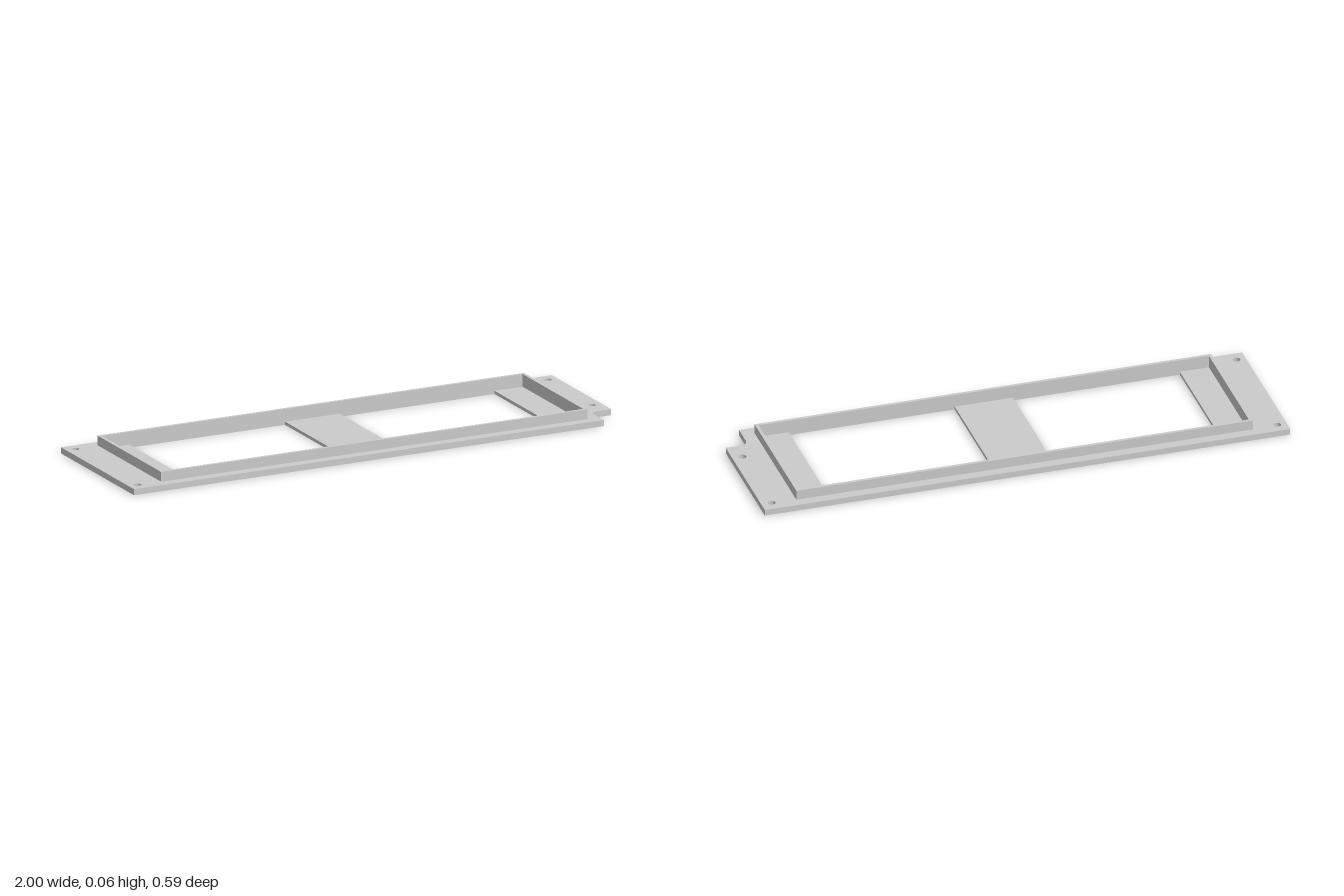
import * as THREE from 'three';

const material = new THREE.MeshStandardMaterial({ color: 0xcccccc, flatShading: true });

// Pocket inside the rim
const X0 = -0.858, X1 = 0.856, Z = 0.244;
const PLATE = 0.023, FLOOR = 0.012, TOP = 0.06;

function rectangle(Type, x0, x1, z) {
  return new Type([[x0, -z], [x1, -z], [x1, z], [x0, z]].map(([x, y]) => new THREE.Vector2(x, y)));
}

// Extrudes a plan outline (shape y = -z) upward from the given height
function slab(name, shape, y, height) {
  const geometry = new THREE.ExtrudeGeometry(shape, { depth: height, bevelEnabled: false, curveSegments: 10 });
  geometry.rotateX(-Math.PI / 2);
  const mesh = new THREE.Mesh(geometry, material);
  mesh.position.y = y;
  mesh.name = name;
  return mesh;
}

export function createModel() {
  const group = new THREE.Group();
  group.name = 'mountingFrame';

  // Base plate with a filleted notch in its front left corner
  const outline = new THREE.Shape();
  const r = 0.027, nx = 0.915, ny = -0.184;
  outline.moveTo(-1, -0.294);
  outline.lineTo(nx, -0.294);
  outline.lineTo(nx, ny - r);
  outline.absarc(nx + r, ny - r, r, Math.PI, Math.PI / 2, true);
  outline.lineTo(1, ny);
  outline.lineTo(1, 0.294);
  outline.lineTo(-1, 0.294);
  outline.closePath();
  outline.holes.push(rectangle(THREE.Path, X0, X1, Z));

  // Screw holes
  for (const [x, z] of [[-0.964, -0.25], [-0.964, 0.25], [0.961, -0.25], [0.961, 0.105]]) {
    outline.holes.push(new THREE.Path().absarc(x, -z, 0.0145, 0, Math.PI * 2, true));
  }
  group.add(slab('basePlate', outline, 0, PLATE));

  // Raised rim around the pocket
  const rim = rectangle(THREE.Shape, -0.87, 0.868, 0.256);
  rim.holes.push(rectangle(THREE.Path, X0, X1, Z));
  group.add(slab('rim', rim, PLATE, TOP - PLATE));

  // Thin floor strips: two end ledges and the central crossbar
  const strips = [['rightLedge', X0, -0.747], ['crossbar', -0.112, 0.11], ['leftLedge', 0.742, X1]];
  for (const [name, x0, x1] of strips) {
    group.add(slab(name, rectangle(THREE.Shape, x0, x1, Z), 0, FLOOR));
  }
  return group;
}
